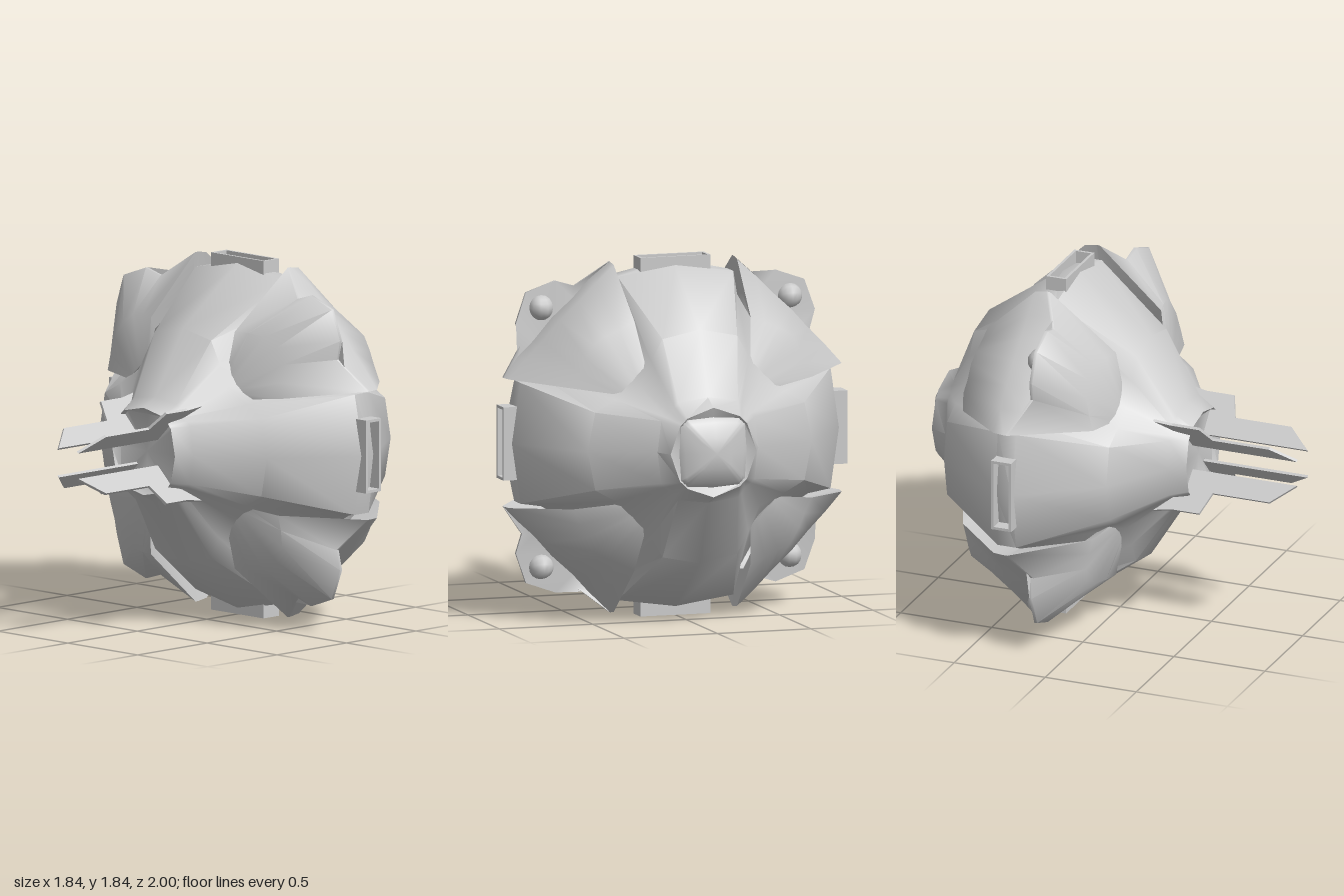
import * as THREE from 'three';
import { toCreasedNormals } from 'three/addons/utils/BufferGeometryUtils.js';

const material = new THREE.MeshStandardMaterial({ color: 0xcccccc, side: THREE.DoubleSide });

function part(name, geometry, parent) {
  const mesh = new THREE.Mesh(geometry, material);
  mesh.name = name;
  parent.add(mesh);
  return mesh;
}

// Skin a surface over rows of points, optionally closing each row into a ring
function loft(rows, closed, crease) {
  const pos = [];
  const n = rows[0].length;
  for (let i = 0; i < rows.length - 1; i++) {
    for (let j = 0; j < (closed ? n : n - 1); j++) {
      const k = (j + 1) % n;
      const a = rows[i][j], b = rows[i][k], c = rows[i + 1][k], d = rows[i + 1][j];
      pos.push(...a, ...d, ...b, ...b, ...d, ...c);
    }
  }
  const geo = new THREE.BufferGeometry();
  geo.setAttribute('position', new THREE.Float32BufferAttribute(pos, 3));
  return toCreasedNormals(geo, crease);
}

// Cross-shaped hull: z, ridge radius, edge [half width, radius], shoulder [half width, radius], valley
function hullGeometry() {
  const stations = [
    [0.43, 0, [0, 0], [0, 0], 0],
    [0.425, 0.19, [0.14, 0.19], [0.15, 0.18], 0.165],
    [0.455, 0.225, [0.14, 0.195], [0.15, 0.185], 0.17],
    [0.37, 0.27, [0.15, 0.25], [0.17, 0.23], 0.185],
    [0.17, 0.6, [0.2, 0.56], [0.26, 0.45], 0.33],
    [-0.23, 0.895, [0.31, 0.83], [0.33, 0.71], 0.47],
    [-0.33, 0.875, [0.31, 0.83], [0.33, 0.71], 0.47],
    [-0.72, 0.6, [0.2, 0.56], [0.26, 0.45], 0.32],
    [-0.85, 0.27, [0.16, 0.25], [0.18, 0.23], 0.2],
    [-0.94, 0.23, [0.14, 0.18], [0.15, 0.17], 0.16],
    [-0.93, 0.18, [0.14, 0.17], [0.145, 0.16], 0.155],
    [-0.955, 0.155, [0.12, 0.15], [0.135, 0.145], 0.14],
    [-0.985, 0.08, [0.06, 0.078], [0.07, 0.075], 0.073],
    [-1, 0, [0, 0], [0, 0], 0],
  ];
  const rows = stations.map(([z, ridge, [ex, ey], [sx, sy], valley]) => {
    const ring = [];
    for (let k = 0; k < 4; k++) {
      const c = Math.round(Math.cos(k * Math.PI / 2)), s = Math.round(Math.sin(k * Math.PI / 2));
      for (const [x, y] of [[sx, sy], [ex, ey], [0, ridge], [-ex, ey], [-sx, sy], [-valley, valley]]) {
        ring.push([x * c - y * s, x * s + y * c, z]);
      }
    }
    return ring;
  });
  return loft(rows, true, 0.8);
}

// Armour shell over one corner. Each row runs from its edge to the diagonal
// and is mirrored across it; the outer columns fold inwards as side walls.
function armourGeometry() {
  const halves = [
    [[0.31, 0.43, 0.04], [0.33, 0.41, 0.04], [0.35, 0.39, 0.04], [0.37, 0.37, 0.04]],
    [[0.28, 0.42, 0.13], [0.305, 0.4, 0.135], [0.33, 0.375, 0.137], [0.35, 0.35, 0.14]],
    [[0.3, 0.61, 0.1], [0.38, 0.61, 0.08], [0.47, 0.6, 0.06], [0.55, 0.55, 0.05]],
    // flared ear at the rim
    [[0.33, 0.9, -0.25], [0.49, 0.77, -0.16], [0.59, 0.8, -0.155], [0.745, 0.745, -0.15]],
    [[0.33, 0.9, -0.26], [0.49, 0.77, -0.175], [0.59, 0.8, -0.17], [0.745, 0.745, -0.165]],
    // rear shell
    [[0.33, 0.9, -0.27], [0.42, 0.8, -0.19], [0.5, 0.71, -0.18], [0.61, 0.61, -0.17]],
    [[0.33, 0.89, -0.33], [0.43, 0.8, -0.33], [0.52, 0.71, -0.33], [0.62, 0.62, -0.33]],
    [[0.31, 0.64, -0.6], [0.39, 0.6, -0.6], [0.46, 0.57, -0.6], [0.53, 0.53, -0.6]],
    [[0.28, 0.42, -0.69], [0.305, 0.4, -0.695], [0.33, 0.375, -0.695], [0.35, 0.35, -0.695]],
    [[0.31, 0.43, -0.6], [0.33, 0.41, -0.6], [0.35, 0.39, -0.6], [0.37, 0.37, -0.6]],
  ];
  const rows = halves.map((half) => {
    const [x, y, z] = half[0];
    const wall = [x + (0.42 - x) * 0.4, y + (0.42 - y) * 0.4, z + (-0.28 - z) * 0.2];
    const left = [wall, ...half];
    const right = left.slice(0, -1).map(([px, py, pz]) => [py, px, pz]);
    return [...right, ...left.reverse()];
  });
  return loft(rows, false, 0.9);
}

// Thin forward blade, drawn with radius along x and z along y
function bladeGeometry() {
  const k = Math.SQRT2, t = 0.014;
  const shape = new THREE.Shape([
    [0.07, 1], [0.15, 0.88], [0.15, 0.57], [0.235, 0.53],
    [0.235, 0.38], [0.25, 0.27], [0.14, 0.36], [0.07, 0.43],
  ].map(([r, z]) => new THREE.Vector2(r * k, z)));
  const geo = new THREE.ExtrudeGeometry(shape, { depth: t, bevelEnabled: false });
  return geo.translate(0, 0, -t / 2).rotateX(Math.PI / 2).rotateZ(Math.PI / 4);
}

// Open rectangular frame at the end of an arm
function addPortFrame(parent) {
  const frame = new THREE.Group();
  frame.name = 'portFrame';
  for (const s of [-1, 1]) {
    part('portLongWall', new THREE.BoxGeometry(0.376, 0.1, 0.014), frame).position.set(0, 0.87, -0.275 + s * 0.048);
    part('portEndWall', new THREE.BoxGeometry(0.014, 0.1, 0.11), frame).position.set(s * 0.181, 0.87, -0.275);
  }
  parent.add(frame);
}

export function createModel() {
  const model = new THREE.Group();
  model.name = 'pod';
  const body = new THREE.Group();
  body.name = 'body';
  body.position.y = 0.92;
  model.add(body);

  part('hull', hullGeometry(), body);

  const armour = armourGeometry(), blade = bladeGeometry();
  const thruster = new THREE.SphereGeometry(0.065, 10, 8);

  // The same quarter, turned four times about the long axis
  for (let i = 0; i < 4; i++) {
    const quarter = new THREE.Group();
    quarter.name = 'quarter' + (i + 1);
    quarter.rotation.z = i * Math.PI / 2;
    part('cornerArmour', armour, quarter);
    part('thruster', thruster, quarter).position.set(0.665, 0.665, -0.165);
    part('frontBlade', blade, quarter);
    addPortFrame(quarter);
    body.add(quarter);
  }
  return model;
}
